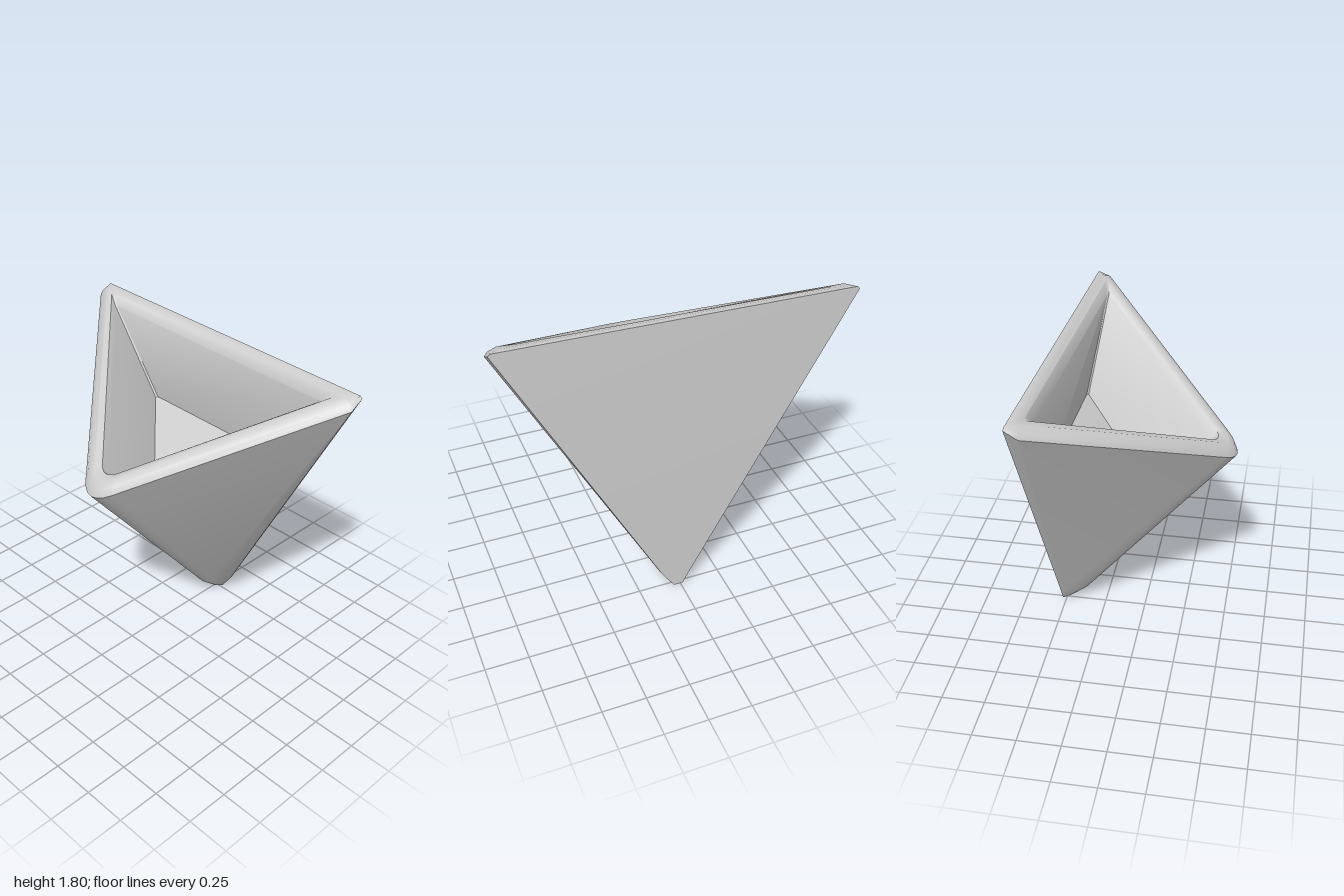
import * as THREE from 'three';
import { toCreasedNormals } from 'three/addons/utils/BufferGeometryUtils.js';

const V = (p) => new THREE.Vector3(...p);
const ARC = 6;

// One triangular loop, counter-clockwise from above, with a rounded front corner.
// Points: -x side, front apex, +x side, +x back, -x back; d is the rounding length.
function ring(sideA, apex, sideB, backB, backA, d) {
  const F = V(apex), A = V(sideA), B = V(sideB);
  const toward = (P) => F.clone().add(P.clone().sub(F).setLength(d));
  const arc = new THREE.QuadraticBezierCurve3(toward(A), F, toward(B)).getPoints(ARC);
  return [A, ...arc, B, V(backB), V(backA)];
}

// Skins successive loops and closes both ends.
function loft(rings, crease) {
  const n = rings[0].length, index = [];
  const pos = rings.flat().flatMap((p) => p.toArray());
  for (let r = 0; r < rings.length - 1; r++) {
    for (let i = 0; i < n; i++) {
      const a = r * n + i, b = r * n + (i + 1) % n;
      index.push(a, b, b + n, a, b + n, a + n);
    }
  }
  const top = (rings.length - 1) * n;
  for (let i = 1; i < n - 1; i++) {
    index.push(0, i + 1, i);
    index.push(top, top + i, top + i + 1);
  }
  const geo = new THREE.BufferGeometry();
  geo.setAttribute('position', new THREE.Float32BufferAttribute(pos, 3));
  geo.setIndex(index);
  return toCreasedNormals(geo, crease);
}

export function createModel() {
  const group = new THREE.Group();
  group.name = 'wallPlanter';

  const rings = [
    // blunt bottom tip
    ring([-0.02, 0.005, -0.515], [0.01, 0.02, -0.45], [0.045, 0.005, -0.515], [0.04, 0, -0.525], [-0.015, 0, -0.525], 0.03),
    ring([-0.08, 0.11, -0.5], [0.005, 0.1, -0.32], [0.12, 0.11, -0.5], [0.11, 0.1, -0.52], [-0.07, 0.1, -0.522], 0.09),
    // top of the outer walls
    ring([-1, 1.74, -0.44], [0, 1.13, 0.585], [1, 1.74, -0.37], [1, 1.785, -0.45], [-1, 1.785, -0.512], 0.17),
    // rounded rim: outer shoulder, crest, inner shoulder, inner edge
    ring([-0.985, 1.77, -0.445], [0, 1.18, 0.565], [0.985, 1.77, -0.38], [0.985, 1.798, -0.45], [-0.985, 1.798, -0.51], 0.16),
    ring([-0.94, 1.792, -0.445], [0, 1.225, 0.515], [0.94, 1.792, -0.385], [0.93, 1.8, -0.425], [-0.93, 1.8, -0.485], 0.13),
    ring([-0.88, 1.78, -0.425], [0, 1.24, 0.45], [0.88, 1.78, -0.37], [0.86, 1.785, -0.385], [-0.86, 1.785, -0.44], 0.1),
    ring([-0.825, 1.73, -0.405], [-0.005, 1.215, 0.4], [0.805, 1.73, -0.352], [0.795, 1.73, -0.36], [-0.815, 1.73, -0.412], 0.05),
    // cavity floor, parallel to the opening
    ring([-0.515, 1.205, -0.445], [-0.02, 0.89, 0.04], [0.475, 1.205, -0.425], [0.465, 1.21, -0.435], [-0.505, 1.21, -0.455], 0.04),
  ];

  const body = new THREE.Mesh(
    loft(rings, 0.75),
    new THREE.MeshStandardMaterial({ color: 0xcccccc })
  );
  body.name = 'planterBody';
  group.add(body);
  return group;
}
